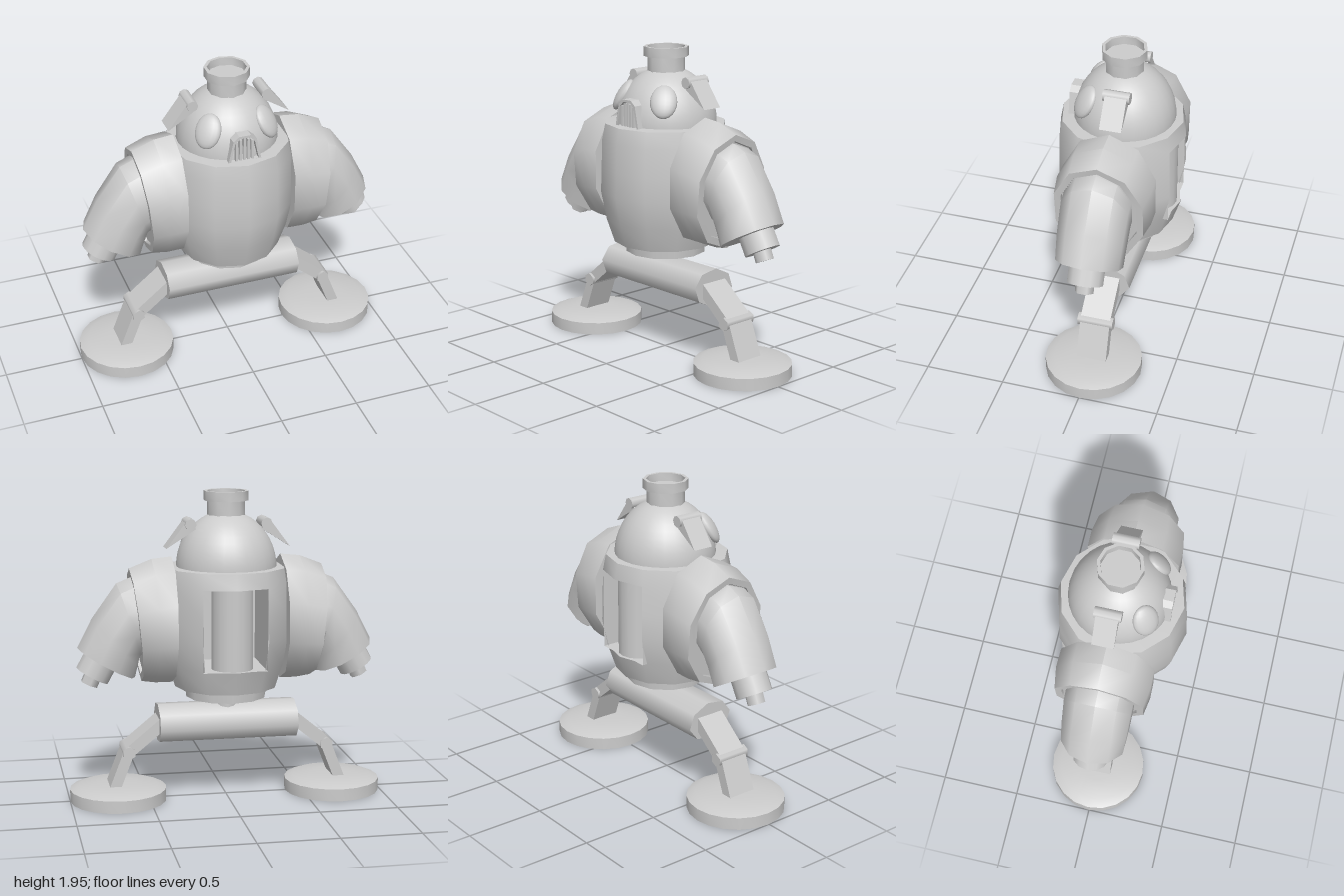
import * as THREE from 'three';
import { toCreasedNormals } from 'three/addons/utils/BufferGeometryUtils.js';

const grey = new THREE.MeshStandardMaterial({ color: 0xcccccc });
const both = new THREE.MeshStandardMaterial({ color: 0xcccccc, side: THREE.DoubleSide });

function add(parent, name, geometry, material = grey) {
  const mesh = new THREE.Mesh(geometry, material);
  mesh.name = name;
  parent.add(mesh);
  return mesh;
}

const vectors = (points) => points.map(([x, y]) => new THREE.Vector2(x, y));
const lathe = (points, sides) => new THREE.LatheGeometry(vectors(points), sides);

// Closed loft through oval rings; each ring is [topX, topY, bottomX, bottomY, halfDepth]
function loft(rings, sides, z = 0, crease = 0.75) {
  const pos = [], index = [];
  const mid = ([tx, ty, bx, by]) => [(tx + bx) / 2, (ty + by) / 2, z];
  for (const ring of rings) {
    const [tx, ty, bx, by, hz] = ring;
    const [cx, cy] = mid(ring);
    for (let k = 0; k < sides; k++) {
      const a = (k / sides) * Math.PI * 2, c = Math.cos(a) / 2;
      pos.push(cx + c * (tx - bx), cy + c * (ty - by), z + Math.sin(a) * hz);
    }
  }
  const n = rings.length, start = n * sides;
  pos.push(...mid(rings[0]), ...mid(rings[n - 1]));
  for (let k = 0; k < sides; k++) {
    const q = (k + 1) % sides, e = (n - 1) * sides;
    for (let i = 0; i < n - 1; i++) {
      const a = i * sides + k, b = i * sides + q;
      index.push(a, b, b + sides, a, b + sides, a + sides);
    }
    index.push(start, q, k, start + 1, e + k, e + q);
  }
  const g = new THREE.BufferGeometry();
  g.setAttribute('position', new THREE.Float32BufferAttribute(pos, 3));
  g.setIndex(index);
  return toCreasedNormals(g, crease);
}

// Box or cylinder running between two points in the front plane
function between(parent, name, [ax, ay], [bx, by], make) {
  const mesh = add(parent, name, make(Math.hypot(bx - ax, by - ay)));
  mesh.position.set((ax + bx) / 2, (ay + by) / 2, 0);
  mesh.rotation.z = Math.atan2(by - ay, bx - ax) - Math.PI / 2;
}

function buildBody(root) {
  // Barrel with a rectangular opening at the back
  const low = 0.87, high = 1.38;
  const shell = lathe([[0, 0.72], [0.325, 0.72], [0.375, low], [0.41, 1.05], [0.405, 1.2],
    [0.4, high], [0.38, 1.48], [0.3, 1.485]], 12);
  const p = shell.attributes.position, old = shell.index.array, keep = [];
  for (let i = 0; i < old.length; i += 3) {
    const tri = [old[i], old[i + 1], old[i + 2]];
    const mean = (f) => tri.reduce((s, v) => s + f(v), 0) / 3;
    const x = mean((v) => p.getX(v)), y = mean((v) => p.getY(v)), z = mean((v) => p.getZ(v));
    const open = y > low && y < high && z < 0 && Math.abs(Math.atan2(x, -z)) < Math.PI / 6;
    if (!open) keep.push(...tri);
  }
  shell.setIndex(keep);
  add(root, 'body', toCreasedNormals(shell, 0.7), both);

  // Lining of the opening (a box without its rear face), its lips and the tank inside
  const lining = new THREE.BoxGeometry(0.4, high - low, 0.41);
  lining.setIndex([...lining.index.array].slice(0, 30));
  add(root, 'backRecess', lining, both).position.set(0, (low + high) / 2, -0.14);
  for (const [y, r] of [[low, 0.373], [high, 0.398]]) {
    const plan = new THREE.Shape(vectors([[-r / 2, r * 0.866], [0, r], [r / 2, r * 0.866], [0.2, 0.3], [-0.2, 0.3]]));
    add(root, 'recessLip', new THREE.ShapeGeometry(plan).rotateX(-Math.PI / 2), both).position.y = y;
  }
  add(root, 'tank', new THREE.CylinderGeometry(0.13, 0.13, high - low, 16))
    .position.set(0, (low + high) / 2, -0.22);

  add(root, 'waistRing', new THREE.CylinderGeometry(0.26, 0.255, 0.07, 12)).position.set(0, 0.688, -0.006);
  add(root, 'waistPost', new THREE.CylinderGeometry(0.07, 0.07, 0.12, 10)).position.set(0, 0.62, -0.008);
  const hip = new THREE.CylinderGeometry(0.162, 0.162, 0.88, 8).rotateZ(Math.PI / 2).scale(1, 0.75, 1);
  const hipBar = add(root, 'hipBar', hip);
  hipBar.position.set(0, 0.492, -0.006);
  hipBar.rotation.x = -0.15;
}

function buildHead(root) {
  const head = new THREE.Group();
  head.name = 'head';
  root.add(head);
  const dome = new THREE.SphereGeometry(0.314, 28, 12, 0, Math.PI * 2, 0, Math.PI / 2);
  add(head, 'dome', dome.scale(1, 1.115, 1)).position.set(0, 1.475, -0.014);

  // Chimney with a shallow open rim
  const chimney = lathe([[0.118, 1.76], [0.118, 1.89], [0.14, 1.89], [0.14, 1.95],
    [0.12, 1.95], [0.118, 1.9], [0, 1.9]], 10);
  add(head, 'chimney', toCreasedNormals(chimney, 0.7), both).position.z = -0.01;

  // Mouth frame with upright bars
  const outline = (w, low, top) => vectors([[-w, low], [w, low], [w * 0.7, top - 0.03], [w * 0.35, top],
    [-w * 0.35, top], [-w * 0.7, top - 0.03]]);
  const frame = new THREE.Shape(outline(0.105, 1.475, 1.65));
  frame.holes.push(new THREE.Path(outline(0.088, 1.483, 1.635)));
  add(head, 'mouthFrame', new THREE.ExtrudeGeometry(frame, { depth: 0.17, bevelEnabled: false }))
    .position.z = 0.147;
  for (let i = -2; i <= 2; i++) {
    const h = 0.155 - Math.abs(i) * 0.012;
    add(head, 'mouthBar', new THREE.BoxGeometry(0.015, h, 0.12)).position.set(i * 0.025, 1.48 + h / 2, 0.253);
  }

  // Oval eyes lying on the dome
  for (const side of [1, -1]) {
    const eye = add(head, 'eye', new THREE.SphereGeometry(1, 18, 12).scale(0.083, 0.108, 0.04));
    eye.position.set(side * 0.185, 1.645, 0.182);
    eye.lookAt(side * 0.37, 1.81, 0.38);
  }
}

function buildSide(root, side) {
  const half = new THREE.Group();
  half.name = side > 0 ? 'leftSide' : 'rightSide';
  half.rotation.y = side > 0 ? 0 : Math.PI;
  half.position.z = -0.007;
  root.add(half);

  // Shoulder pad with a shallow recessed outer face
  add(half, 'shoulderPad', loft([
    [0.345, 1.548, 0.345, 0.752, 0.305], [0.47, 1.535, 0.45, 0.752, 0.308],
    [0.61, 1.48, 0.54, 0.765, 0.288], [0.604, 1.44, 0.546, 0.81, 0.245],
    [0.585, 1.435, 0.528, 0.815, 0.242]], 10, -0.005 * side));

  // Drooping sleeve
  add(half, 'sleeve', loft([
    [0.5, 1.43, 0.5, 0.9, 0.215], [0.6, 1.425, 0.54, 0.93, 0.218], [0.69, 1.388, 0.55, 0.92, 0.218],
    [0.845, 1.172, 0.56, 0.87, 0.213], [0.938, 0.99, 0.58, 0.79, 0.205]], 10));

  // Wrist and nut
  between(half, 'wrist', [0.775, 0.945], [0.848, 0.812], (l) => new THREE.CylinderGeometry(0.112, 0.112, l, 12));
  between(half, 'wristNut', [0.84, 0.82], [0.868, 0.757], (l) => new THREE.CylinderGeometry(0.058, 0.058, l, 6));

  // Leg, knee and foot
  between(half, 'upperLeg', [0.41, 0.51], [0.635, 0.325], (l) => new THREE.BoxGeometry(0.072, l, 0.19));
  between(half, 'lowerLeg', [0.635, 0.325], [0.73, 0.08], (l) => new THREE.BoxGeometry(0.068, l, 0.19));
  const knee = add(half, 'knee', new THREE.CylinderGeometry(0.043, 0.043, 0.225, 6));
  knee.geometry.rotateX(Math.PI / 2);
  knee.position.set(0.635, 0.325, 0);
  const foot = lathe([[0, 0], [0.305, 0], [0.305, 0.078], [0.25, 0.098], [0.12, 0.108], [0, 0.11]], 20);
  add(half, 'foot', toCreasedNormals(foot, 0.6)).position.x = 0.695;

  // Hinged ear flap
  const ear = new THREE.Group();
  ear.name = 'ear';
  ear.position.z = -0.023 * side;
  half.add(ear);
  const hinge = add(ear, 'earHinge', new THREE.CylinderGeometry(0.036, 0.036, 0.165, 8));
  hinge.geometry.rotateX(Math.PI / 2);
  hinge.position.set(0.238, 1.752, 0);
  const wedge = new THREE.Shape(vectors([[0.2, 1.725], [0.388, 1.605], [0.268, 1.765]]));
  add(ear, 'earFlap', new THREE.ExtrudeGeometry(wedge, { depth: 0.135, bevelEnabled: false })).position.z = -0.0675;
}

export function createModel() {
  const root = new THREE.Group();
  root.name = 'robot';
  buildBody(root);
  buildHead(root);
  for (const side of [1, -1]) buildSide(root, side);
  return root;
}
